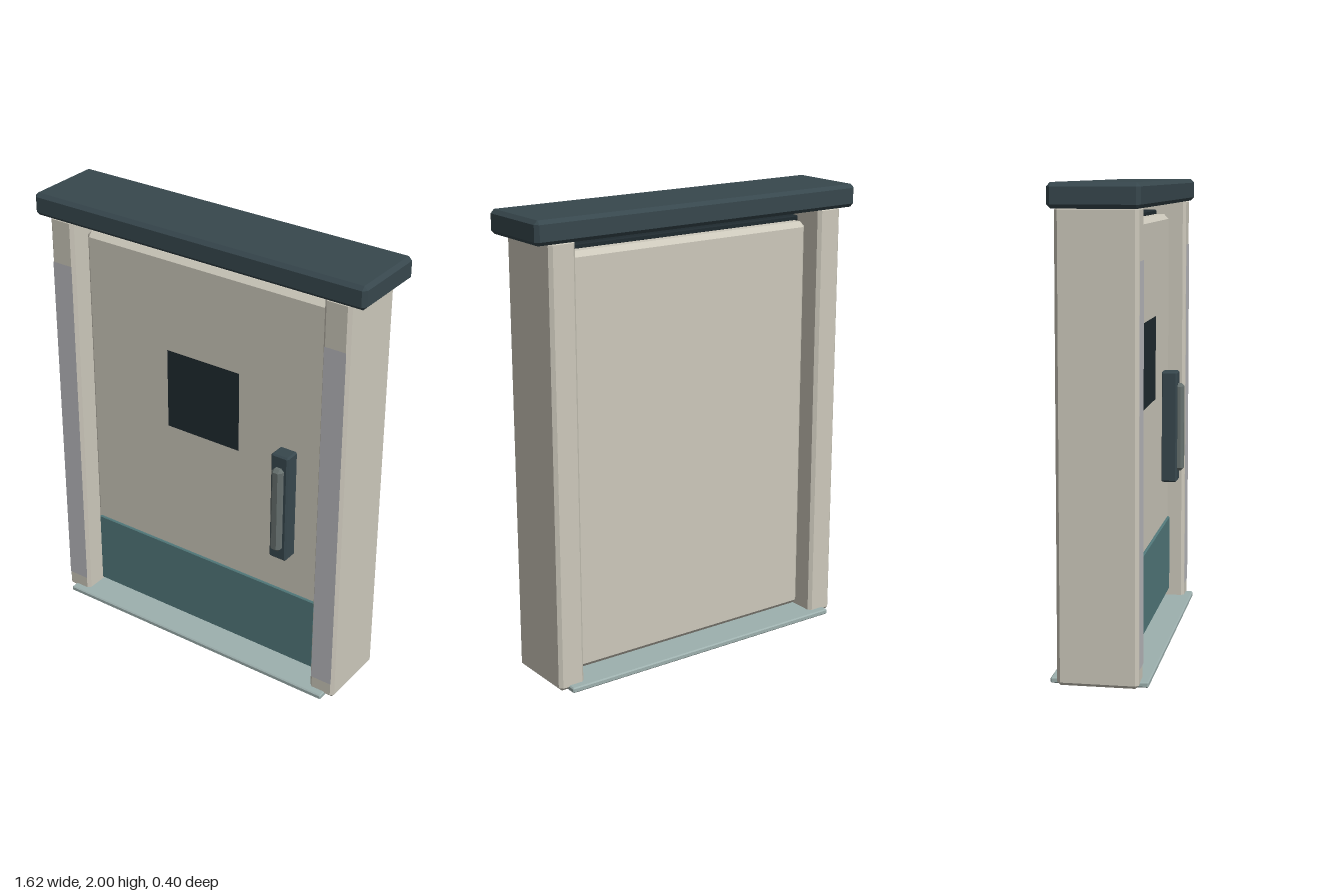
import * as THREE from 'three';
import { ConvexGeometry } from 'three/addons/geometries/ConvexGeometry.js';

const paint = (color) => new THREE.MeshStandardMaterial({ color, flatShading: true });

// Box with every edge cut by a flat chamfer of size b, given by its limits
function chamferBox(name, [x0, x1], [y0, y1], [z0, z1], b, material) {
  const hx = (x1 - x0) / 2, hy = (y1 - y0) / 2, hz = (z1 - z0) / 2;
  const points = [];
  for (const sx of [-1, 1]) for (const sy of [-1, 1]) for (const sz of [-1, 1]) {
    for (const [a, c, d] of [[0, b, b], [b, 0, b], [b, b, 0]]) {
      points.push(new THREE.Vector3(sx * (hx - a), sy * (hy - c), sz * (hz - d)));
    }
  }
  const mesh = new THREE.Mesh(new ConvexGeometry(points), material);
  mesh.name = name;
  mesh.position.set((x0 + x1) / 2, (y0 + y1) / 2, (z0 + z1) / 2);
  return mesh;
}

// Flat rectangle facing +z
function panel(name, width, height, x, y, z, material) {
  const mesh = new THREE.Mesh(new THREE.PlaneGeometry(width, height), material);
  mesh.name = name;
  mesh.position.set(x, y, z);
  return mesh;
}

export function createModel() {
  const model = new THREE.Group();
  model.name = 'doorway';
  const beige = paint(0xccc8bb);
  const slate = paint(0x37474d);
  const teal = paint(0x52797b);
  const pale = paint(0x9db0ae);
  const dark = paint(0x1f2a2f);
  const steel = paint(0x66706e);
  const strip = paint(0xb9b9bd);

  // Frame: lintel, threshold and two posts with a strip on the front
  model.add(chamferBox('lintel', [-0.81, 0.81], [1.9, 2], [-0.182, 0.182], 0.016, slate));
  model.add(chamferBox('threshold', [-0.7, 0.7], [0, 0.024], [-0.2, 0.2], 0.005, pale));
  for (const side of [-1, 1]) {
    const xs = [0.62 * side, 0.742 * side].sort((a, b) => a - b);
    const post = new THREE.Group();
    post.name = side > 0 ? 'leftPost' : 'rightPost';
    post.add(chamferBox('post', xs, [0.004, 1.91], [-0.166, 0.166], 0.014, beige));
    post.add(panel('postStrip', 0.1, 1.62, 0.681 * side, 0.89, 0.168, strip));
    model.add(post);
  }

  // Door leaf with the seal along its top
  const door = new THREE.Group();
  door.name = 'door';
  door.add(chamferBox('doorLeaf', [-0.615, 0.615], [0.038, 1.842], [-0.09, 0.09], 0.022, beige));
  door.add(chamferBox('topSeal', [-0.615, 0.615], [1.838, 1.862], [-0.03, 0.03], 0.005, dark));
  door.add(chamferBox('kickPlate', [-0.592, 0.592], [0.064, 0.416], [0.08, 0.1], 0.004, teal));
  door.add(panel('window', 0.37, 0.37, 0, 1.222, 0.0925, dark));

  // Handle: backing block and raised grip
  const handle = new THREE.Group();
  handle.name = 'handle';
  handle.add(chamferBox('handleBlock', [0.392, 0.476], [0.62, 1.132], [0.085, 0.16], 0.007, slate));
  handle.add(chamferBox('grip', [0.408, 0.458], [0.672, 1.076], [0.145, 0.188], 0.013, steel));
  door.add(handle);
  model.add(door);

  return model;
}
